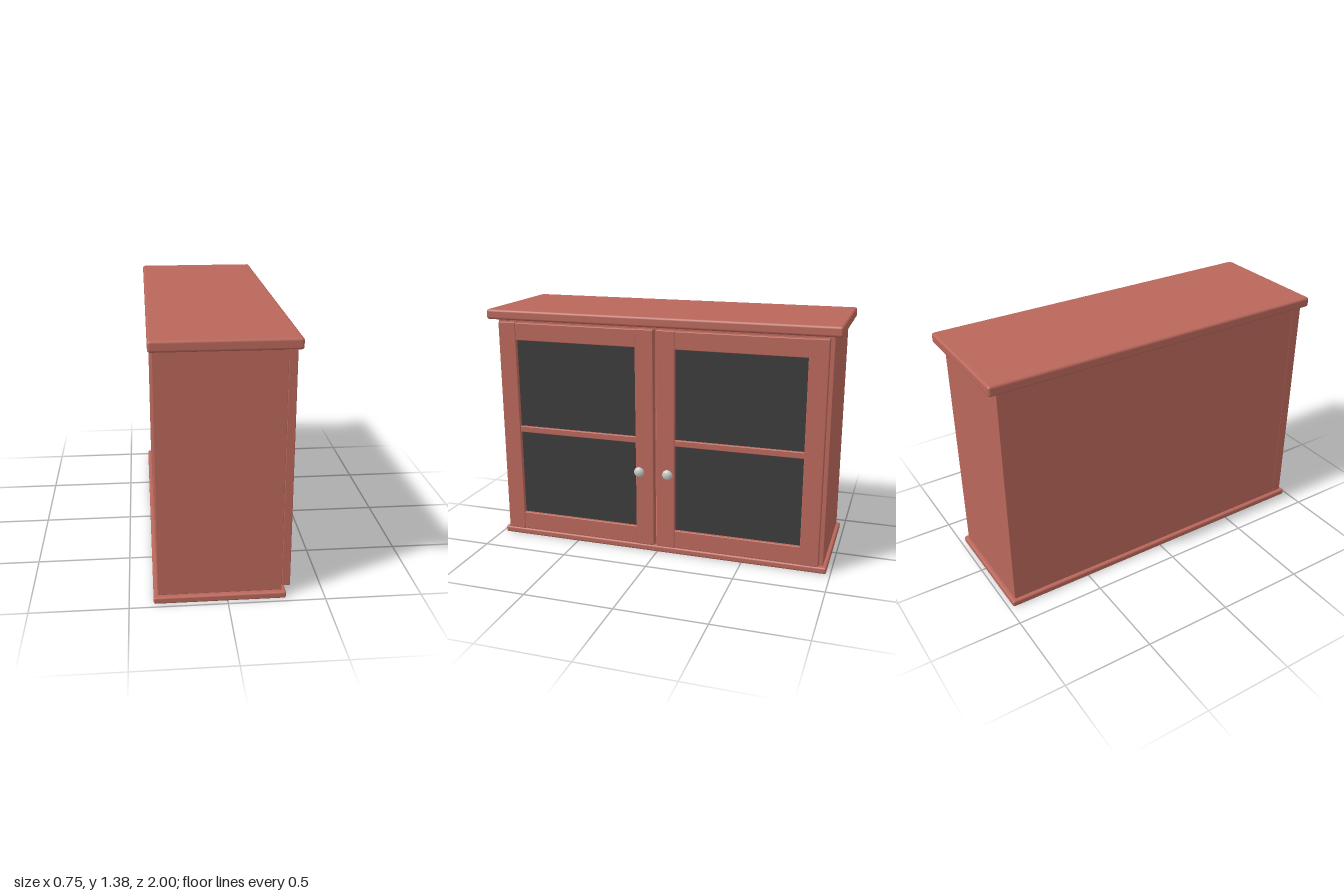
import * as THREE from 'three';
import { RoundedBoxGeometry } from 'three/addons/geometries/RoundedBoxGeometry.js';

const mat = (name, color) => {
  const m = new THREE.MeshStandardMaterial({ color });
  m.name = name;
  return m;
};

export function createModel() {
  const wood = mat('red painted wood', 0xb9675b);
  const glass = mat('dark glass', 0x3b3b3b);
  const metal = mat('pale knob metal', 0xc8c8c4);
  const stemMetal = mat('dark stem metal', 0x333333);

  const cabinet = new THREE.Group();
  cabinet.name = 'cabinet';

  // Board between two corners, with softened edges of radius r
  function board(parent, name, [x0, x1], [y0, y1], [z0, z1], r = 0.003, material = wood) {
    const size = [x1 - x0, y1 - y0, z1 - z0];
    const geo = r ? new RoundedBoxGeometry(...size, 2, r) : new THREE.BoxGeometry(...size);
    const mesh = new THREE.Mesh(geo, material);
    mesh.name = name;
    mesh.position.set((x0 + x1) / 2, (y0 + y1) / 2, (z0 + z1) / 2);
    parent.add(mesh);
    return mesh;
  }

  // Top and base slabs
  board(cabinet, 'topSlab', [-0.376, 0.342], [1.32, 1.377], [-1, 1], 0.014);
  board(cabinet, 'baseSlab', [-0.376, 0.3], [0, 0.037], [-0.977, 0.977], 0.01);

  // Hollow carcass
  const inner = [-0.905, 0.905];
  board(cabinet, 'backPanel', [-0.355, -0.325], [0.037, 1.32], [-0.95, 0.95], 0);
  board(cabinet, 'carcassTop', [-0.33, 0.26], [1.27, 1.31], inner, 0);
  board(cabinet, 'carcassFloor', [-0.33, 0.275], [0.036, 0.09], inner, 0);
  board(cabinet, 'shelf', [-0.33, 0.26], [0.645, 0.675], inner, 0);

  // Knob profile: mushroom head turned about its own axis
  const knobProfile = [
    [0, 0], [0.011, 0], [0.022, 0.006], [0.03, 0.013],
    [0.029, 0.018], [0.023, 0.026], [0.013, 0.031], [0, 0.033],
  ].map(([r, h]) => new THREE.Vector2(r, h));

  for (const s of [1, -1]) {
    const side = s > 0 ? 'left' : 'right';
    const span = (a, b) => (s > 0 ? [a, b] : [-b, -a]);

    board(cabinet, side + 'SidePanel', [-0.356, 0.279], [0.04, 1.316], span(0.9, 0.957));

    // Glazed door: stiles, rails, glazing bar and pane
    const door = new THREE.Group();
    door.name = side + 'Door';
    cabinet.add(door);
    const depth = [0.283, 0.326];
    board(door, 'outerStile', depth, [0.05, 1.306], span(0.831, 0.935), 0.004);
    board(door, 'innerStile', depth, [0.05, 1.306], span(0.009, 0.114), 0.004);
    board(door, 'topRail', [0.284, 0.323], [1.205, 1.304], span(0.112, 0.833), 0.004);
    board(door, 'bottomRail', [0.284, 0.323], [0.052, 0.156], span(0.112, 0.833), 0.004);
    board(door, 'glazingBar', [0.286, 0.32], [0.66, 0.696], span(0.112, 0.833), 0.004);
    board(door, 'pane', [0.298, 0.304], [0.15, 1.21], span(0.11, 0.835), 0, glass);

    // Knob on the inner stile
    const knob = new THREE.Group();
    knob.name = 'knob';
    knob.position.set(0.325, 0.502, s * 0.083);
    knob.rotation.z = -Math.PI / 2;
    const stem = new THREE.Mesh(new THREE.CylinderGeometry(0.011, 0.011, 0.022, 20), stemMetal);
    stem.name = 'knobStem';
    stem.position.y = 0.01;
    const head = new THREE.Mesh(new THREE.LatheGeometry(knobProfile, 28), metal);
    head.name = 'knobHead';
    head.position.y = 0.018;
    knob.add(stem, head);
    door.add(knob);
  }

  return cabinet;
}
